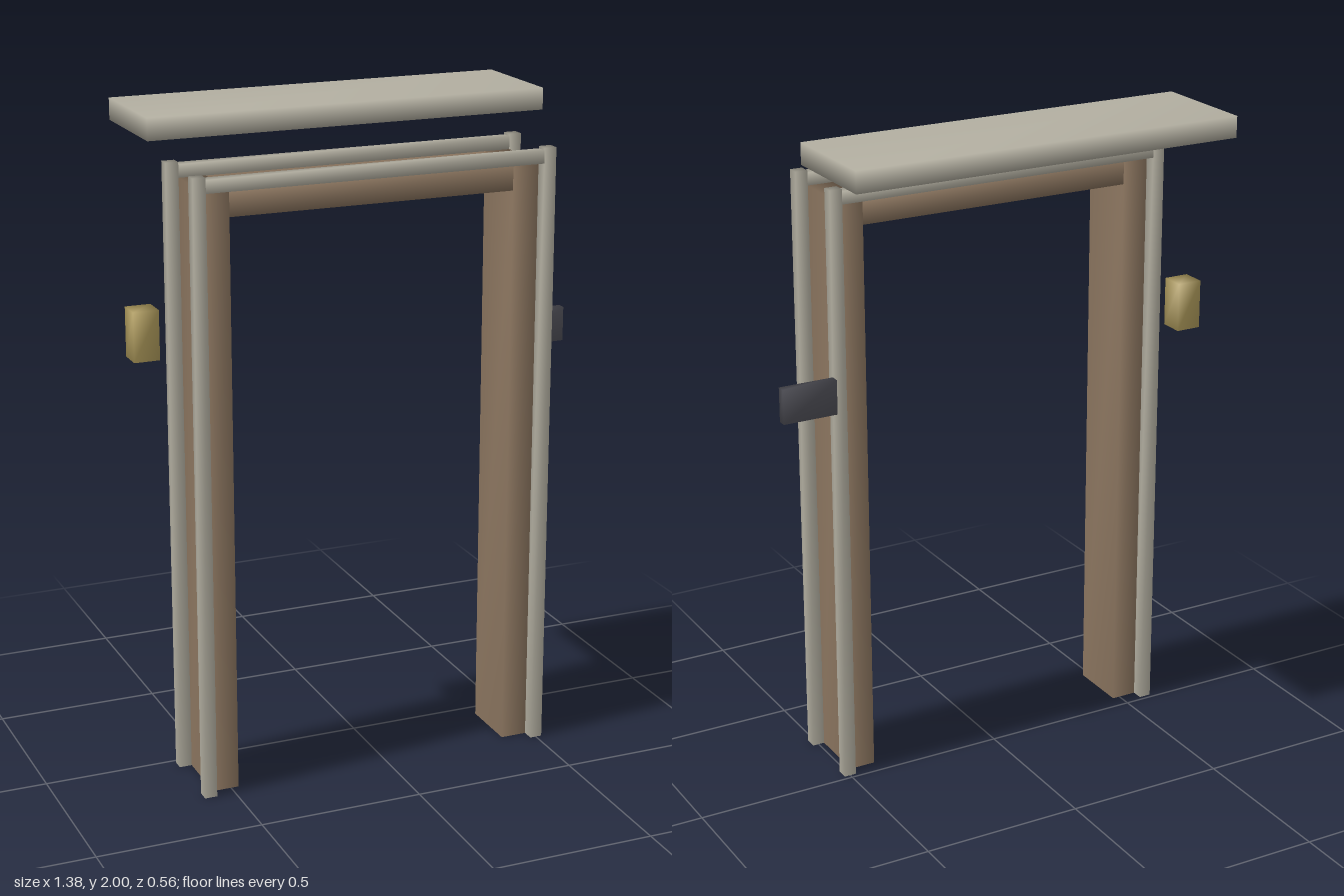
import * as THREE from 'three';
import { mergeVertices } from 'three/addons/utils/BufferGeometryUtils.js';

const wood = new THREE.MeshStandardMaterial({ color: 0x8c7660 });
const paint = new THREE.MeshStandardMaterial({ color: 0xb4b0a2 });
const brass = new THREE.MeshStandardMaterial({ color: 0xb09c5c });
const iron = new THREE.MeshStandardMaterial({ color: 0x505058 });

// Box between two corners, with corners welded so the shading runs softly over the edges
function block(name, material, [x0, x1], [y0, y1], [z0, z1]) {
  let geometry = new THREE.BoxGeometry(x1 - x0, y1 - y0, z1 - z0);
  geometry.deleteAttribute('normal');
  geometry.deleteAttribute('uv');
  geometry = mergeVertices(geometry);
  geometry.computeVertexNormals();
  const mesh = new THREE.Mesh(geometry, material);
  mesh.name = name;
  mesh.position.set((x0 + x1) / 2, (y0 + y1) / 2, (z0 + z1) / 2);
  return mesh;
}

export function createModel() {
  const model = new THREE.Group();
  model.name = 'doorFrame';

  // Wooden jambs and the header between them
  const depth = [0.05, 0.241];
  model.add(
    block('rightJamb', wood, [-0.557, -0.476], [0, 1.82], depth),
    block('leftJamb', wood, [0.4, 0.481], [0, 1.82], depth),
    block('header', wood, [-0.476, 0.4], [1.74, 1.82], depth)
  );

  // Trim around the opening, on the front and back
  for (const [side, z] of [['front', [0.241, 0.278]], ['back', [0.014, 0.05]]]) {
    const trim = new THREE.Group();
    trim.name = side + 'Trim';
    trim.add(
      block(side + 'RightTrim', paint, [-0.595, -0.557], [0, 1.865], z),
      block(side + 'LeftTrim', paint, [0.481, 0.519], [0, 1.865], z),
      block(side + 'TopTrim', paint, [-0.557, 0.481], [1.82, 1.858], z)
    );
    model.add(trim);
  }

  // Canopy above the door, wall lamp and number plate beside it
  model.add(
    block('canopy', paint, [-0.653, 0.579], [1.935, 2], [-0.278, 0.07]),
    block('wallLamp', brass, [-0.692, -0.614], [1.282, 1.432], [-0.06, 0.016]),
    block('wallPlate', iron, [0.519, 0.69], [1.2, 1.306], [-0.001, 0.026])
  );
  return model;
}
